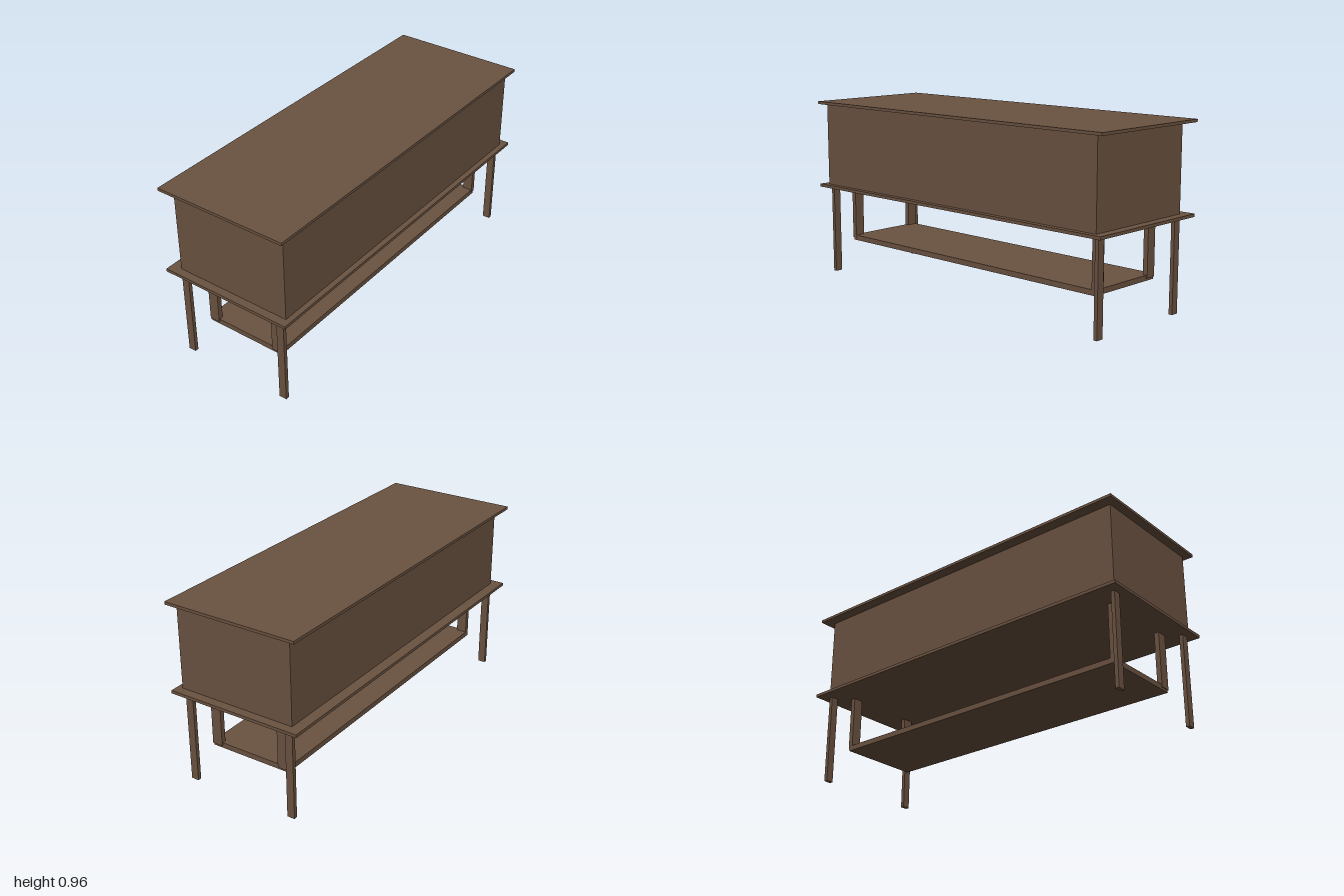
import * as THREE from 'three';

export function createModel() {
  const group = new THREE.Group();
  const wood = new THREE.MeshStandardMaterial({ color: 0x6a5240 });
  wood.name = 'brown wood';

  // Box given by its extents along each axis
  function addBox(name, [x0, x1], [y0, y1], [z0, z1]) {
    const mesh = new THREE.Mesh(new THREE.BoxGeometry(x1 - x0, y1 - y0, z1 - z0), wood);
    mesh.position.set((x0 + x1) / 2, (y0 + y1) / 2, (z0 + z1) / 2);
    mesh.name = name;
    group.add(mesh);
  }

  // Cabinet between two overhanging boards
  addBox('topBoard', [-1, 1], [0.947, 0.962], [-0.365, 0.365]);
  addBox('cabinetBody', [-0.957, 0.953], [0.5, 0.947], [-0.308, 0.336]);
  addBox('baseBoard', [-1, 1], [0.484, 0.5], [-0.365, 0.365]);

  // Four slim legs
  for (const [side, x] of [['Right', [-0.957, -0.937]], ['Left', [0.933, 0.953]]]) {
    addBox('frontLeg' + side, x, [0, 0.484], [0.277, 0.318]);
    addBox('backLeg' + side, x, [0, 0.484], [-0.308, -0.267]);
  }

  // Hanging shelf and its four flat supports
  addBox('shelf', [-0.877, 0.869], [0.178, 0.206], [-0.217, 0.232]);
  for (const [side, x] of [['Right', [-0.881, -0.855]], ['Left', [0.85, 0.876]]]) {
    addBox('frontShelfSupport' + side, x, [0.191, 0.484], [0.178, 0.234]);
    addBox('backShelfSupport' + side, x, [0.191, 0.484], [-0.216, -0.16]);
  }

  return group;
}
